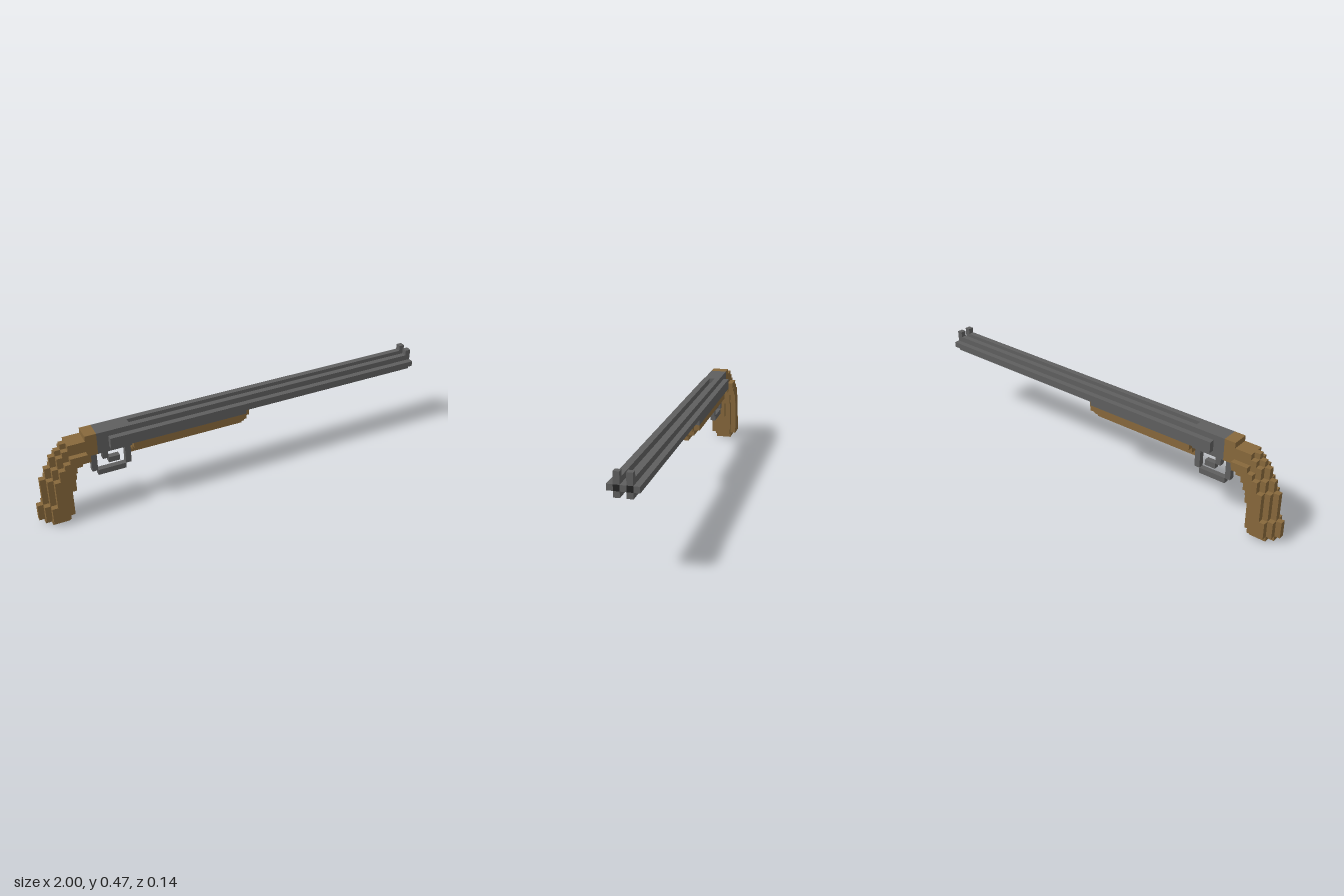
import * as THREE from 'three';

const U = 2 / 73; // size of one block; the model is 73 blocks long

const mat = (name, color) => {
  const m = new THREE.MeshStandardMaterial({ color });
  m.name = name;
  return m;
};

export function createModel() {
  const wood = mat('wood', 0x87683b);
  const steel = mat('steel', 0x5f5f5f);
  const dark = mat('boreBlack', 0x222222);
  const model = new THREE.Group();
  model.name = 'shotgun';

  const part = (name) => {
    const g = new THREE.Group();
    g.name = name;
    model.add(g);
    return g;
  };

  // Box in block units: x and y ranges, and z range with 0 at the middle
  const box = (parent, name, material, x0, x1, y0, y1, z0, z1) => {
    const geo = new THREE.BoxGeometry((x1 - x0) * U, (y1 - y0) * U, (z1 - z0) * U);
    const mesh = new THREE.Mesh(geo, material);
    mesh.name = name;
    mesh.position.set(((x0 + x1) / 2) * U - 1, ((y0 + y1) / 2) * U, ((z0 + z1) / 2) * U);
    parent.add(mesh);
  };
  const centred = (parent, name, material, x0, x1, y0, y1, half) =>
    box(parent, name, material, x0, x1, y0, y1, -half, half);
  const pair = (parent, name, material, x0, x1, y0, y1, z0, z1) => {
    box(parent, name + 'Left', material, x0, x1, y0, y1, z0, z1);
    box(parent, name + 'Right', material, x0, x1, y0, y1, -z1, -z0);
  };

  // Pistol grip: stacked layers, each a run of columns [x, bottom, top]
  const grip = part('grip');
  const layers = [
    [0.5, [[0, 1, 4], [1, 0, 9], [2, 0, 11], [3, 0, 13], [4, 0, 14], [5, 1, 15],
      [6, 5, 15], [7, 10, 15], [8, 10, 15], [9, 10, 16], [10, 12, 16]]],
    [1.5, [[1, 1, 4], [2, 0, 9], [3, 0, 11], [4, 0, 13], [5, 1, 14],
      [6, 8, 15], [7, 11, 15], [8, 11, 15], [9, 12, 16], [10, 12, 16]]],
    [2.5, [[2, 1, 4], [3, 1, 9], [4, 1, 11], [5, 8, 12], [6, 10, 13], [7, 11, 13], [8, 12, 13]]],
  ];
  for (const [half, columns] of layers)
    for (const [x, y0, y1] of columns) centred(grip, 'gripColumn', wood, x, x + 1, y0, y1, half);

  // Receiver
  const receiver = part('receiver');
  centred(receiver, 'receiverRear', steel, 11, 13, 12, 16, 1.5);
  centred(receiver, 'receiverFloor', steel, 13, 17, 12, 13, 1.5);
  centred(receiver, 'receiverBody', steel, 13, 17, 13, 15, 2.5);
  centred(receiver, 'receiverTop', steel, 13, 17, 15, 16, 1.5);
  pair(receiver, 'sidePlate', steel, 17, 38, 13, 14, 1.5, 2.5);

  // Twin barrels, each a plus in section, with dark bores at the muzzle
  const barrels = part('barrels');
  pair(barrels, 'barrelTop', steel, 17, 73, 15, 16, 0.5, 1.5);
  pair(barrels, 'barrelSide', steel, 17, 73, 14, 15, 1.5, 2.5);
  pair(barrels, 'barrelCore', steel, 17, 72, 14, 15, 0.5, 1.5);
  pair(barrels, 'barrelBottom', steel, 17, 73, 13, 14, 0.5, 1.5);
  centred(barrels, 'barrelRib', steel, 17, 73, 14, 15, 0.5);
  pair(barrels, 'bore', dark, 72, 73, 14, 15, 0.5, 1.5);
  pair(barrels, 'frontSight', steel, 72, 73, 16, 17, 0.5, 1.5);

  // Fore-end, narrowing downwards, with a small stepped tip
  const foreEnd = part('foreEnd');
  centred(foreEnd, 'foreEndFiller', wood, 17, 38, 13, 14, 0.5);
  centred(foreEnd, 'foreEndUpper', wood, 17, 38, 12, 13, 2.5);
  centred(foreEnd, 'foreEndMiddle', wood, 17, 38, 11, 12, 1.5);
  centred(foreEnd, 'foreEndLower', wood, 17, 38, 10, 11, 0.5);
  centred(foreEnd, 'foreEndTip', wood, 38, 39, 12, 13, 1.5);
  centred(foreEnd, 'foreEndTipLower', wood, 38, 39, 11, 12, 0.5);

  // Trigger and guard
  const guard = part('triggerGuard');
  centred(guard, 'guardRear', steel, 10, 11, 8, 12, 0.5);
  centred(guard, 'guardFront', steel, 16, 17, 8, 12, 0.5);
  centred(guard, 'guardBottom', steel, 11, 16, 7, 8, 0.5);
  const trigger = part('trigger');
  centred(trigger, 'triggerStem', steel, 12, 13, 10, 12, 0.5);
  centred(trigger, 'triggerToe', steel, 13, 15, 9, 10, 0.5);

  return model;
}
